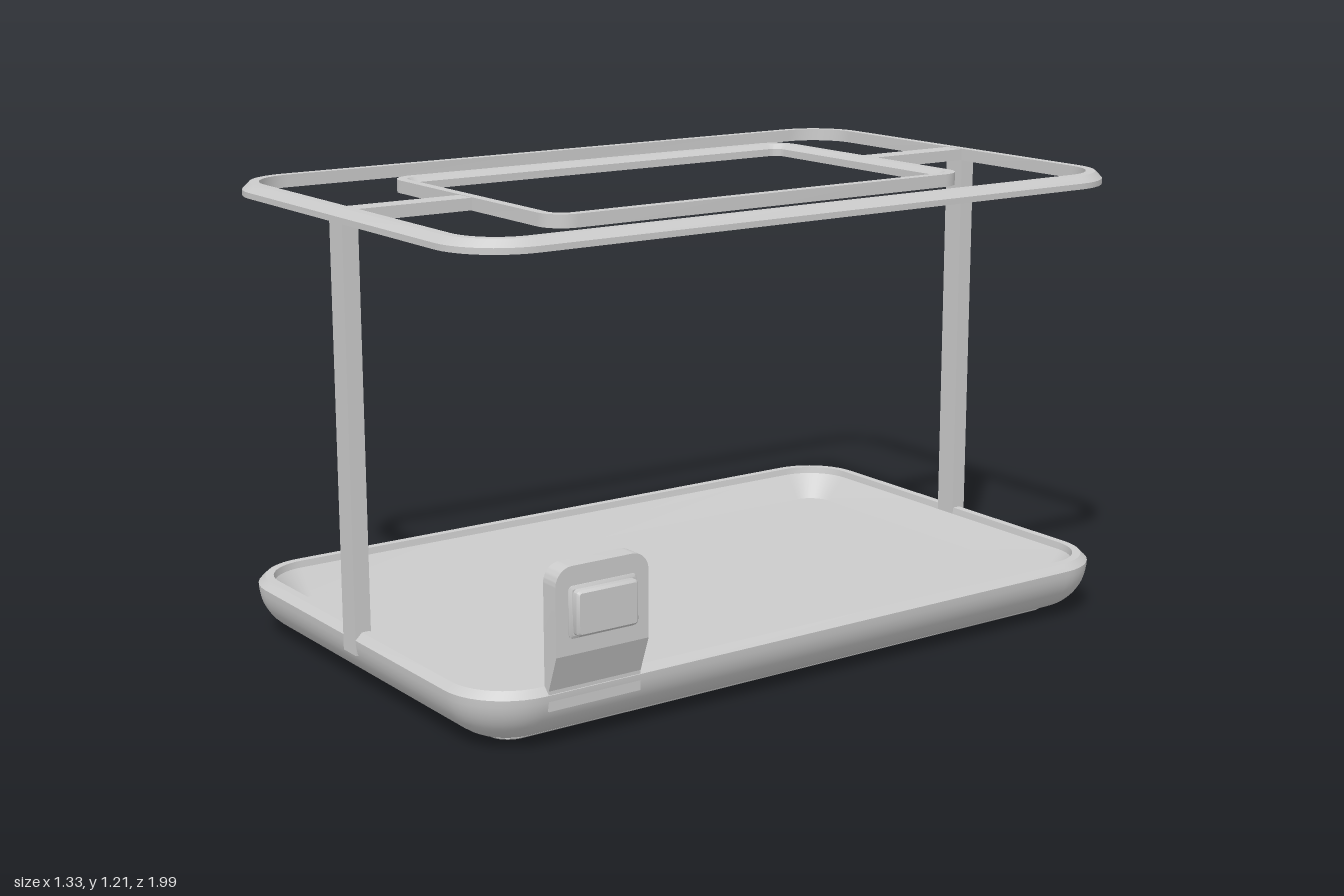
import * as THREE from 'three';
import { toCreasedNormals } from 'three/addons/utils/BufferGeometryUtils.js';

const material = new THREE.MeshStandardMaterial({ color: 0xcccccc });
const CX = -0.032; // centre line of tray and frames

// Rounded-rectangle outline, counter-clockwise from above
function outline(hw, hd, r, y, seg = 10) {
  const pts = [];
  [[1, 1], [1, -1], [-1, -1], [-1, 1]].forEach(([sx, sz], k) => {
    for (let i = 0; i <= seg; i++) {
      const t = (k - 1 + i / seg) * Math.PI / 2;
      pts.push([sx * (hw - r) + r * Math.cos(t), y, sz * (hd - r) - r * Math.sin(t)]);
    }
  });
  return pts;
}

// Sweep a profile of [inset, y] points round a rounded rectangle
function sweepRect(hw, hd, radius, minRadius, profile) {
  const rings = profile.map(([inset, y]) => {
    const w = hw - inset;
    return outline(w, hd - inset, Math.min(w, Math.max(radius - inset, minRadius)), y);
  });
  const pos = [];
  for (let j = 0; j + 1 < rings.length; j++) {
    const a = rings[j], b = rings[j + 1], n = a.length;
    for (let i = 0; i < n; i++) {
      const k = (i + 1) % n;
      pos.push(...a[i], ...a[k], ...b[k], ...a[i], ...b[k], ...b[i]);
    }
  }
  const geo = new THREE.BufferGeometry();
  geo.setAttribute('position', new THREE.Float32BufferAttribute(pos, 3));
  geo.computeVertexNormals();
  return toCreasedNormals(geo, 0.45);
}

function add(parent, name, geo, x = 0, y = 0, z = 0) {
  const mesh = new THREE.Mesh(geo, material);
  mesh.name = name;
  mesh.position.set(x, y, z);
  parent.add(mesh);
  return mesh;
}

function addBox(parent, name, x0, x1, y0, y1, z0, z1) {
  return add(parent, name, new THREE.BoxGeometry(x1 - x0, y1 - y0, z1 - z0),
    (x0 + x1) / 2, (y0 + y1) / 2, (z0 + z1) / 2);
}

export function createModel() {
  const model = new THREE.Group();
  const HW = 0.637, HD = 0.997, R = 0.17;

  // Tray: bowl-shaped outside, chamfered rim, sloping inner wall and floor
  const bowl = [];
  for (let i = 0; i <= 12; i++) {
    const t = i / 12 * Math.PI / 2;
    bowl.push([0.125 * (1 - Math.sin(t)), 0.14 - 0.128 * Math.cos(t)]);
  }
  add(model, 'tray', sweepRect(HW, HD, R, 0.06, [
    [HW, 0.012], ...bowl,
    [0.018, 0.158], [0.04, 0.158], [0.043, 0.14], [0.1, 0.075], [HW, 0.075],
  ]), CX);

  // Thin foot plate under the tray
  add(model, 'footPlate', sweepRect(HW - 0.115, HD - 0.115, 0.06, 0, [
    [HW - 0.115, 0], [0.004, 0], [0, 0.004], [0, 0.016],
  ]), CX);

  // Upper frames
  add(model, 'outerTopFrame', sweepRect(HW, HD, R, 0.06, [
    [0.043, 1.172], [0, 1.172], [0, 1.187], [0.018, 1.205], [0.043, 1.205], [0.043, 1.172],
  ]), CX);
  add(model, 'innerTopFrame', sweepRect(0.397, 0.64, 0.07, 0.03, [
    [0.04, 1.172], [0, 1.172], [0, 1.205], [0.027, 1.205], [0.04, 1.192], [0.04, 1.172],
  ]), CX);

  // Posts and the bars that carry the inner frame, front and back
  for (const [s, side] of [[1, 'front'], [-1, 'back']]) {
    const span = (a, b) => s > 0 ? [a, b] : [-b, -a];
    addBox(model, side + 'Post', CX - 0.032, CX + 0.032, 0.1, 1.18, ...span(0.954, HD));
    addBox(model, side + 'Bar', CX - 0.03, CX + 0.03, 1.173, 1.204, ...span(0.62, 0.97));
  }

  // Side bracket: rounded plate on a tapering foot
  const bracket = new THREE.Group();
  bracket.name = 'sideBracket';
  bracket.position.z = 0.692;
  model.add(bracket);
  const h = 0.128, r = 0.045, top = 0.452, low = 0.24;
  const plate = new THREE.Shape();
  plate.moveTo(-h, low);
  plate.lineTo(h, low);
  plate.lineTo(h, top - r);
  plate.absarc(h - r, top - r, r, 0, Math.PI / 2);
  plate.lineTo(-h + r, top);
  plate.absarc(-h + r, top - r, r, Math.PI / 2, Math.PI);
  const plateGeo = new THREE.ExtrudeGeometry(plate, { depth: 0.052, bevelEnabled: false, curveSegments: 10 });
  plateGeo.rotateY(Math.PI / 2);
  add(bracket, 'bracketPlate', toCreasedNormals(plateGeo, 0.5), 0.586);

  const foot = new THREE.Shape([[0.586, 0.1], [0.604, 0.1], [0.604, 0.15], [0.638, low], [0.586, low]]
    .map(p => new THREE.Vector2(...p)));
  add(bracket, 'bracketFoot', new THREE.ExtrudeGeometry(foot, { depth: 2 * h, bevelEnabled: false }), 0, 0, -h);

  // Push button with a bevelled surround
  const surround = sweepRect(0.063, 0.094, 0.012, 0.002, [[0, 0], [0, 0.004], [0.008, 0.008], [0.063, 0.008]]);
  const cap = sweepRect(0.055, 0.085, 0.012, 0.002, [[0, 0], [0, 0.022], [0.006, 0.028], [0.055, 0.028]]);
  for (const [name, geo] of [['buttonSurround', surround], ['button', cap]]) {
    geo.rotateZ(-Math.PI / 2);
    add(bracket, name, geo, 0.636, 0.342);
  }
  return model;
}
